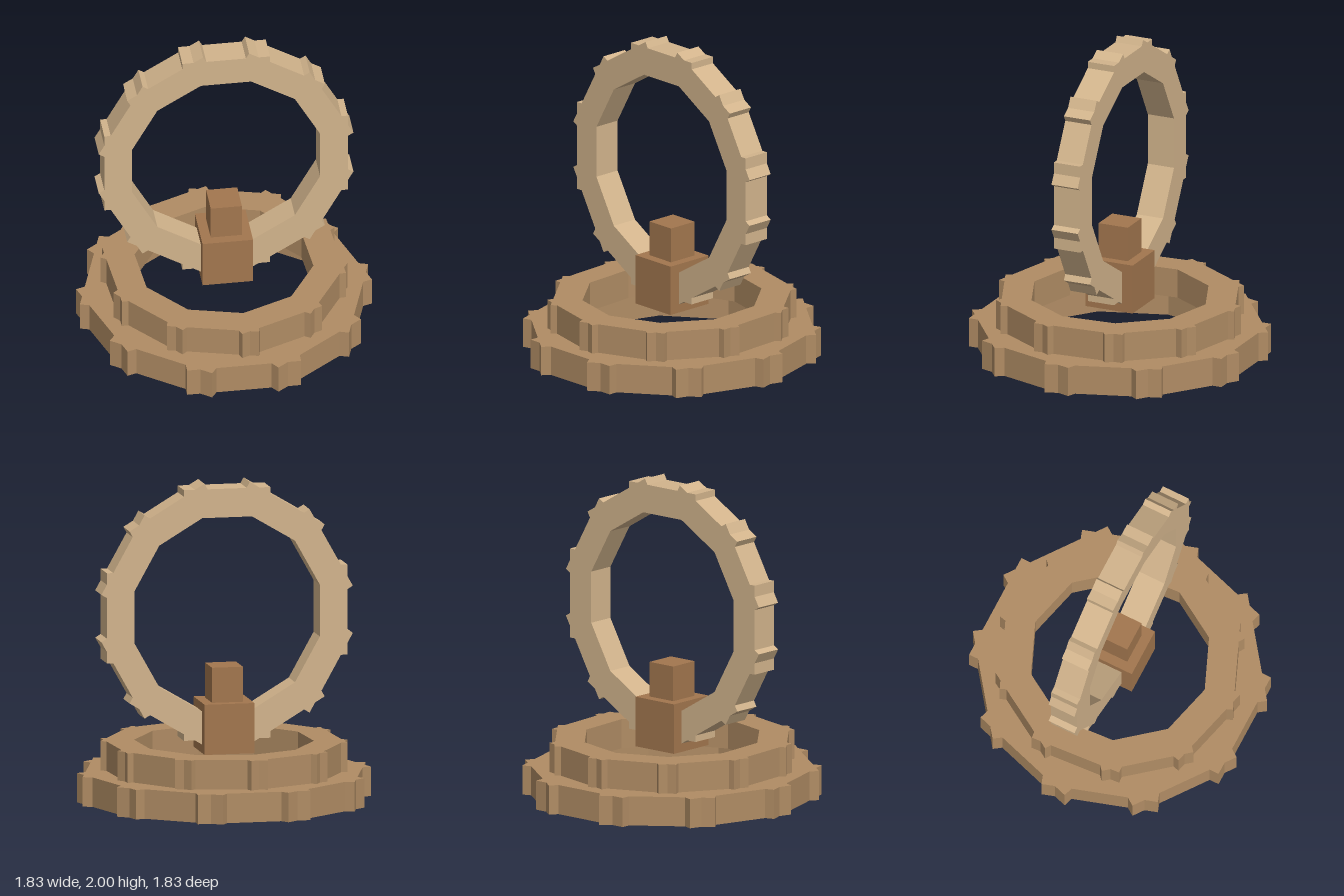
import * as THREE from 'three';

const paleWood = new THREE.MeshStandardMaterial({ color: 0xd2b48c, flatShading: true });
const midWood = new THREE.MeshStandardMaterial({ color: 0xb08c64, flatShading: true });
const darkWood = new THREE.MeshStandardMaterial({ color: 0xa2764e, flatShading: true });

function box(name, w, h, d, material) {
  const mesh = new THREE.Mesh(new THREE.BoxGeometry(w, h, d), material);
  mesh.name = name;
  return mesh;
}

// Ring in the XY plane made of overlapping blocks whose ends stick out as teeth
function blockRing(name, { count, outer, thickness, length, depth, turn = 0, material }) {
  const ring = new THREE.Group();
  ring.name = name;
  const r = outer - thickness / 2;
  for (let i = 0; i < count; i++) {
    const a = turn + (i / count) * Math.PI * 2;
    const block = box(name + 'Block', length, thickness, depth, material);
    block.position.set(Math.sin(a) * r, Math.cos(a) * r, 0);
    block.rotation.z = -a;
    ring.add(block);
  }
  return ring;
}

export function createModel() {
  const model = new THREE.Group();
  model.name = 'ringSculpture';

  // Two stacked base rings lying flat
  const base = [
    { name: 'lowerBaseRing', y: 0.0925, outer: 0.866, length: 0.732, turn: 0 },
    { name: 'upperBaseRing', y: 0.2775, outer: 0.728, length: 0.588, turn: THREE.MathUtils.degToRad(14) },
  ];
  for (const { name, y, ...size } of base) {
    const ring = blockRing(name, { count: 10, thickness: 0.186, depth: 0.185, material: midWood, ...size });
    ring.rotation.x = -Math.PI / 2;
    ring.position.y = y;
    ring.scale.x = 0.975;
    model.add(ring);
  }

  // Upright ring
  const upright = blockRing('uprightRing', {
    count: 12, outer: 0.787, thickness: 0.18, length: 0.566, depth: 0.18, material: paleWood,
  });
  upright.position.y = 1.178;
  upright.scale.x = 0.968;
  model.add(upright);

  // Pedestal holding the upright ring, with a smaller block on top
  const pedestal = box('pedestal', 0.316, 0.315, 0.324, darkWood);
  pedestal.position.y = 0.4675;
  const cap = box('pedestalCap', 0.195, 0.22, 0.2, darkWood);
  cap.position.y = 0.735;
  model.add(pedestal, cap);

  return model;
}
